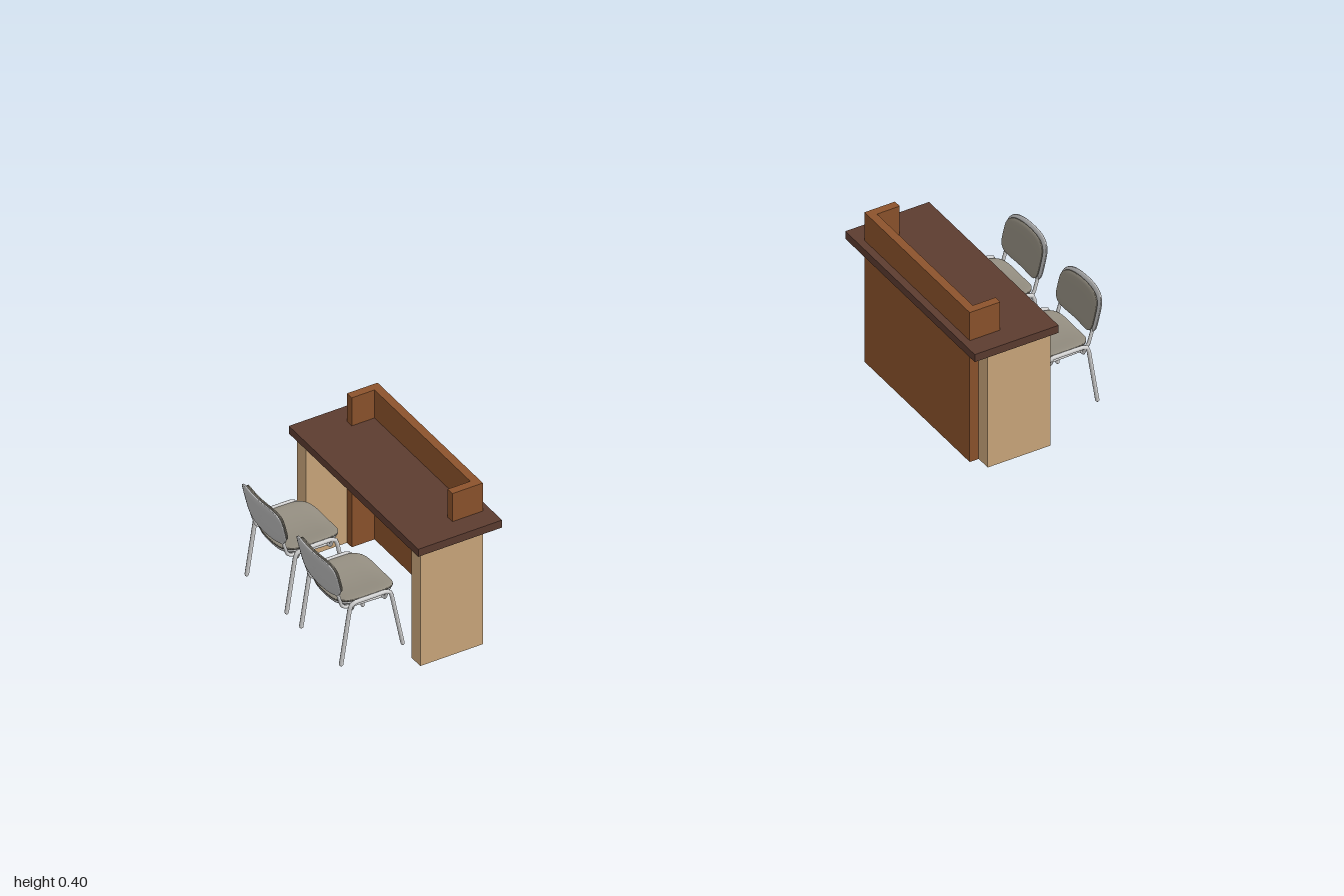
import * as THREE from 'three';
import { mergeVertices } from 'three/addons/utils/BufferGeometryUtils.js';

const mat = (name, color) => {
  const m = new THREE.MeshStandardMaterial({ color });
  m.name = name;
  return m;
};

export function createModel() {
  const walnut = mat('dark walnut', 0x5c3c30);
  const brown = mat('brown wood', 0x8c532c);
  const tan = mat('tan wood', 0xcca87c);
  const metal = mat('pale metal', 0xd4d4d4);
  const shellGrey = mat('silver grey plastic', 0xbcbcbc);
  const fabric = mat('taupe fabric', 0x938d80);

  const add = (group, name, geometry, material) => {
    const mesh = new THREE.Mesh(geometry, material);
    mesh.name = name;
    group.add(mesh);
    return mesh;
  };

  // box given by its minimum and maximum corners
  const block = (group, name, material, [x0, y0, z0], [x1, y1, z1]) => {
    const mesh = add(group, name, new THREE.BoxGeometry(x1 - x0, y1 - y0, z1 - z0), material);
    mesh.position.set((x0 + x1) / 2, (y0 + y1) / 2, (z0 + z1) / 2);
  };

  // rounded pad with thinned edges; place(u, v, n) bends it into position
  const pad = (w, h, t, place) => {
    let g = new THREE.BoxGeometry(2, 2, 2, 16, 16, 2);
    g.deleteAttribute('uv');
    g.deleteAttribute('normal');
    g = mergeVertices(g);
    const p = g.attributes.position;
    for (let i = 0; i < p.count; i++) {
      const u = p.getX(i), v = p.getY(i);
      const m = Math.max(Math.abs(u), Math.abs(v));
      const k = m ? m / Math.pow(u ** 4 + v ** 4, 0.25) : 1;
      const n = p.getZ(i) * (t / 2) * (1 - 0.6 * m ** 6);
      p.setXYZ(i, ...place(u * k * w / 2, v * k * h / 2, n));
    }
    g.computeVertexNormals();
    return g;
  };

  // tube along straight runs with softly rounded corners
  const tube = (points, r, bend = 0.014) => {
    const pts = points.map((p) => new THREE.Vector3(...p));
    const path = new THREE.CurvePath();
    let from = pts[0];
    for (let i = 1; i < pts.length - 1; i++) {
      const a = pts[i].clone().lerp(pts[i - 1], bend / pts[i].distanceTo(pts[i - 1]));
      const b = pts[i].clone().lerp(pts[i + 1], bend / pts[i].distanceTo(pts[i + 1]));
      path.add(new THREE.LineCurve3(from, a));
      path.add(new THREE.QuadraticBezierCurve3(a, pts[i], b));
      from = b;
    }
    path.add(new THREE.LineCurve3(from, pts[pts.length - 1]));
    return new THREE.TubeGeometry(path, 32, r, 8);
  };

  const capped = (group, name, points, r, bend) => {
    add(group, name, tube(points, r, bend), metal);
    // closed tube ends
    for (const p of [points[0], points[points.length - 1]]) {
      add(group, name + 'End', new THREE.SphereGeometry(r, 8, 6), metal).position.set(...p);
    }
  };

  function chair(z) {
    const g = new THREE.Group();
    g.name = 'chair';
    g.position.z = z;

    // dished seat on a thin shell
    const seat = (dy) => (u, v, n) =>
      [0.886 + v, 0.164 + dy + n + 1.6 * u * u - 1.2 * Math.max(0, -v - 0.03) ** 2, u];
    add(g, 'seatCushion', pad(0.156, 0.148, 0.012, seat(0.003)), fabric);
    add(g, 'seatShell', pad(0.15, 0.142, 0.006, seat(-0.006)), shellGrey);

    // curved, leaning backrest
    const back = (dx) => (u, v, n) =>
      [0.979 + dx + n + 0.24 * v - 1.6 * u * u, 0.239 + v, -u];
    add(g, 'backShell', pad(0.162, 0.1, 0.011, back(0.003)), shellGrey);
    add(g, 'backCushion', pad(0.152, 0.092, 0.009, back(-0.006)), fabric);

    for (const s of [-1, 1]) {
      // both legs and the side rail are one bent tube
      capped(g, 'legFrame', [[0.809, 0.023, s * 0.084], [0.84, 0.176, s * 0.084],
        [0.942, 0.176, s * 0.084], [0.966, 0.023, s * 0.084]], 0.005);
      // rail under the seat rising to the backrest
      capped(g, 'backSupport', [[0.85, 0.154, s * 0.066], [0.952, 0.157, s * 0.066],
        [0.972, 0.225, s * 0.066]], 0.004);
    }
    for (const x of [0.85, 0.935]) {
      capped(g, 'crossBar', [[x, 0.172, -0.084], [x, 0.154, -0.078],
        [x, 0.154, 0.078], [x, 0.172, 0.084]], 0.004, 0.006);
    }
    return g;
  }

  function station(side) {
    const g = new THREE.Group();
    g.name = side > 0 ? 'leftStation' : 'rightStation';

    // counter top and end pedestals
    block(g, 'counterTop', walnut, [0.604, 0.305, -0.273], [0.818, 0.325, 0.273]);
    for (const s of [-1, 1]) {
      const z = [s * 0.222, s * 0.26].sort((a, b) => a - b);
      block(g, 'endPanel', tan, [0.645, 0, z[0]], [0.805, 0.305, z[1]]);
    }

    // U-shaped screen rising from the floor through the top
    block(g, 'frontScreen', brown, [0.622, 0, -0.222], [0.642, 0.4, 0.222]);
    for (const s of [-1, 1]) {
      const z = [s * 0.202, s * 0.222].sort((a, b) => a - b);
      block(g, 'screenReturn', brown, [0.642, 0, z[0]], [0.7, 0.4, z[1]]);
    }

    for (const z of [0.108, -0.122]) g.add(chair(z * side));
    if (side < 0) g.rotation.y = Math.PI;
    return g;
  }

  const model = new THREE.Group();
  model.name = 'facingCounters';
  model.add(station(1), station(-1));
  return model;
}
